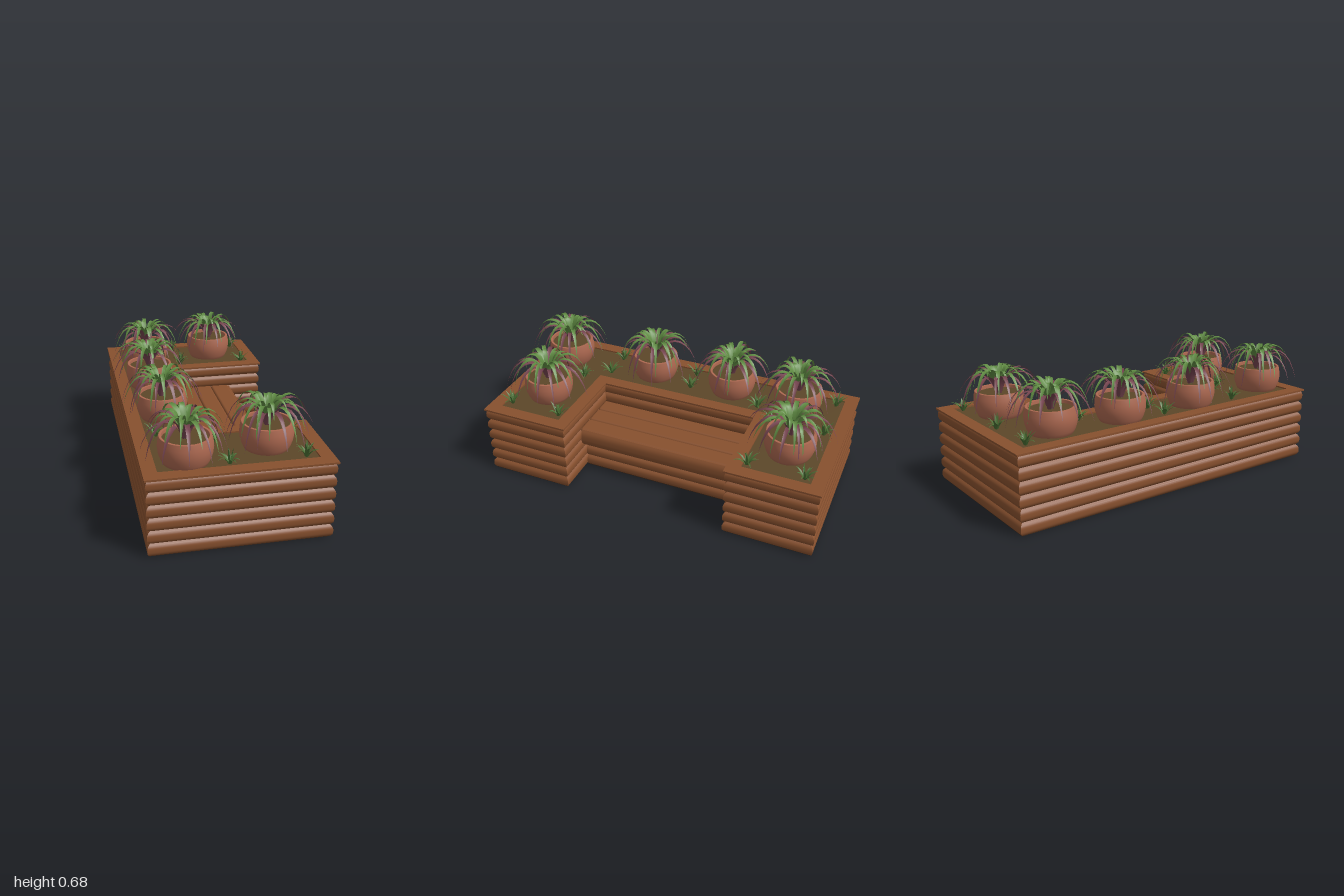
import * as THREE from 'three';
import { mergeGeometries } from 'three/addons/utils/BufferGeometryUtils.js';
import { RoundedBoxGeometry } from 'three/addons/geometries/RoundedBoxGeometry.js';

const mat = (color, extra = {}) => new THREE.MeshStandardMaterial({ color, ...extra });
const wood = mat(0x87502e);
const soilMat = mat(0x5c4729);
const darkMat = mat(0x3c2618);
const clay = mat(0xac6850);
const leafGreen = mat(0x5f8a42, { side: THREE.DoubleSide });
const leafPurple = mat(0x75444f, { side: THREE.DoubleSide });
const grass = mat(0x4b7034, { side: THREE.DoubleSide });

let seed = 7;
const rnd = (a, b) => {
  seed = (seed * 16807) % 2147483647;
  return a + (b - a) * (seed / 2147483647);
};

// C-shaped footprint: x, z, and the inward direction at each corner
const corners = [
  [-0.437, -0.985, 1, 1], [0.484, -0.985, -1, 1], [0.484, -0.495, -1, -1], [-0.022, -0.495, -1, -1],
  [-0.022, 0.427, -1, 1], [0.484, 0.427, -1, 1], [0.484, 0.922, -1, -1], [-0.437, 0.922, 1, -1],
];
const outline = d => corners.map(([x, z, sx, sz]) => [x + sx * d, z + sz * d]);

function named(name, geometry, material) {
  const mesh = new THREE.Mesh(geometry, material);
  mesh.name = name;
  return mesh;
}

// Grid of rows of points turned into a smooth surface
function surface(rows) {
  const n = rows[0].length, index = [];
  for (let i = 0; i < rows.length - 1; i++) {
    for (let j = 0; j < n - 1; j++) {
      const a = i * n + j, b = a + n;
      index.push(a, b, a + 1, b, b + 1, a + 1);
    }
  }
  const g = new THREE.BufferGeometry();
  g.setAttribute('position', new THREE.Float32BufferAttribute(rows.flat(2), 3));
  g.setIndex(index);
  g.computeVertexNormals();
  return g;
}

// Bulged plank face between two ends; ends(d) gives both [x, z] ends at inset d
function plankFace(y0, y1, ends) {
  const rows = [], steps = 10;
  for (let i = 0; i <= steps; i++) {
    const u = (i / steps) * 2 - 1;
    const y = y0 + (y1 - y0) * i / steps;
    rows.push(ends(0.016 * Math.abs(u) ** 3).map(([x, z]) => [x, y, z]));
  }
  return surface(rows);
}

// Flat slab from [x, z] points, top at y
function slab(points, y, thickness) {
  const shape = new THREE.Shape(points.map(p => new THREE.Vector2(...p)));
  const g = new THREE.ExtrudeGeometry(shape, { depth: thickness, bevelEnabled: false });
  return g.rotateX(Math.PI / 2).translate(0, y, 0);
}

// Tapering folded blade that follows a curve in the radial plane
function blade(curve, width, angle, segments) {
  const c = Math.cos(angle), s = Math.sin(angle), rows = [];
  for (let i = 0; i <= segments; i++) {
    const t = i / segments, p = curve.getPoint(t);
    const w = width * 0.5 * Math.min(1, 0.55 + 1.6 * t) * (1 - t ** 2.5);
    rows.push([-1, 0, 1].map(k => [
      p.x * c - k * w * s, p.y + Math.abs(k) * w * 0.35, p.x * s + k * w * c,
    ]));
  }
  return surface(rows);
}

function arch(reach, peak, tip) {
  const v = (x, y) => new THREE.Vector2(x, y);
  return new THREE.CubicBezierCurve(v(0.012, 0.52), v(reach * 0.22, peak), v(reach * 0.8, peak), v(reach, tip));
}

function leaves(count, reach, peak, tip, turn) {
  const list = [];
  for (let i = 0; i < count; i++) {
    const angle = turn + (i + rnd(-0.3, 0.3)) / count * Math.PI * 2;
    list.push(blade(arch(rnd(...reach), rnd(...peak), rnd(...tip)), rnd(0.022, 0.032), angle, 9));
  }
  return list;
}

function pottedPlant(x, z) {
  const plant = new THREE.Group();
  plant.name = 'pottedPlant';
  const profile = [[0, 0.4], [0.108, 0.4], [0.122, 0.428], [0.132, 0.458], [0.136, 0.487], [0.134, 0.515],
    [0.128, 0.545], [0.127, 0.546], [0.116, 0.546], [0.115, 0.544], [0.113, 0.52]];
  plant.add(named('pot', new THREE.LatheGeometry(profile.map(p => new THREE.Vector2(...p)), 36), clay));
  plant.add(named('potSoil', new THREE.CircleGeometry(0.116, 24).rotateX(-Math.PI / 2).translate(0, 0.528, 0), soilMat));
  const turn = rnd(0, 6);
  plant.add(named('greenLeaves', mergeGeometries([
    ...leaves(13, [0.17, 0.22], [0.69, 0.715], [0.49, 0.56], turn),
    ...leaves(7, [0.09, 0.14], [0.68, 0.71], [0.58, 0.63], turn + 0.4),
  ]), leafGreen));
  plant.add(named('purpleLeaves', mergeGeometries(
    leaves(14, [0.2, 0.25], [0.66, 0.7], [0.45, 0.52], turn + 0.24)), leafPurple));
  plant.position.set(x, 0, z);
  return plant;
}

function grassTuft(x, z) {
  const list = [];
  for (let i = 0; i < 13; i++) {
    const r = i < 4 ? rnd(0.01, 0.03) : rnd(0.045, 0.075);
    const curve = new THREE.QuadraticBezierCurve(
      new THREE.Vector2(0.004, 0.4), new THREE.Vector2(r * 0.4, 0.455),
      new THREE.Vector2(r, i < 4 ? rnd(0.47, 0.495) : rnd(0.43, 0.475)));
    list.push(blade(curve, 0.014, i * 2.4 + rnd(-0.2, 0.2), 4));
  }
  const tuft = named('grassTuft', mergeGeometries(list), grass);
  tuft.position.set(x, 0, z);
  return tuft;
}

export function createModel() {
  const model = new THREE.Group();
  model.name = 'planterBench';

  // Planter walls: six courses of rounded planks, mitred at the corners
  const course = 0.41 / 6, walls = [];
  for (let row = 0; row < 6; row++) {
    for (let k = 0; k < 8; k++) {
      walls.push(plankFace(row * course, (row + 1) * course, d => {
        const o = outline(d);
        return [o[k], o[(k + 1) % 8]];
      }));
    }
  }
  model.add(named('planterWalls', mergeGeometries(walls), wood));

  // Mitred top rim boards
  const outer = outline(-0.006), inner = outline(0.065);
  for (let k = 0; k < 8; k++) {
    const n = (k + 1) % 8;
    model.add(named('rimBoard', slab([outer[k], outer[n], inner[n], inner[k]], 0.417, 0.01), wood));
  }
  model.add(named('soil', slab(outline(0.03), 0.409, 0.02), soilMat));

  // Base plates
  model.add(named('basePlate', slab(outline(0.012), 0.012, 0.011), darkMat));
  model.add(named('benchBase', slab([[-0.04, -0.5], [0.24, -0.5], [0.24, 0.43], [-0.04, 0.43]], 0.012, 0.011), darkMat));

  // Bench: recessed plank front, overhanging seat boards and front apron
  const benchZ = [-0.495, 0.427];
  const faceAt = x => d => benchZ.map(z => [x - d, z]);
  const benchRows = [[0, course], [course, course * 2], [course * 2, 0.19]];
  model.add(named('benchFront', mergeGeometries(benchRows.map(([a, b]) => plankFace(a, b, faceAt(0.25)))), wood));
  const length = benchZ[1] - benchZ[0], midZ = (benchZ[0] + benchZ[1]) / 2;
  for (const [x0, x1] of [[-0.05, 0.06], [0.06, 0.17], [0.17, 0.28]]) {
    const board = named('seatBoard', new RoundedBoxGeometry(x1 - x0, 0.05, length + 0.03, 4, 0.014), wood);
    board.position.set((x0 + x1) / 2, 0.256, midZ);
    model.add(board);
  }
  model.add(named('seatApron', plankFace(0.18, 0.28, faceAt(0.3)), wood));
  const backing = named('apronBacking', new THREE.BoxGeometry(0.05, 0.098, length), wood);
  backing.position.set(0.259, 0.229, midZ);
  model.add(backing);

  // Potted plants
  for (const [x, z] of [[-0.22, -0.68], [0.2, -0.75], [-0.25, -0.28], [-0.25, 0.2], [-0.22, 0.75], [0.2, 0.67]]) {
    model.add(pottedPlant(x, z));
  }

  // Grass between the pots
  const tufts = [[-0.32, -0.88], [-0.02, -0.88], [0.38, -0.88], [0.38, -0.58], [-0.01, -0.6], [-0.14, -0.47],
    [-0.32, -0.04], [-0.18, -0.05], [-0.32, 0.45], [-0.15, 0.45], [-0.05, 0.58], [0.37, 0.52], [-0.02, 0.82], [0.36, 0.82]];
  for (const [x, z] of tufts) model.add(grassTuft(x, z));

  return model;
}
